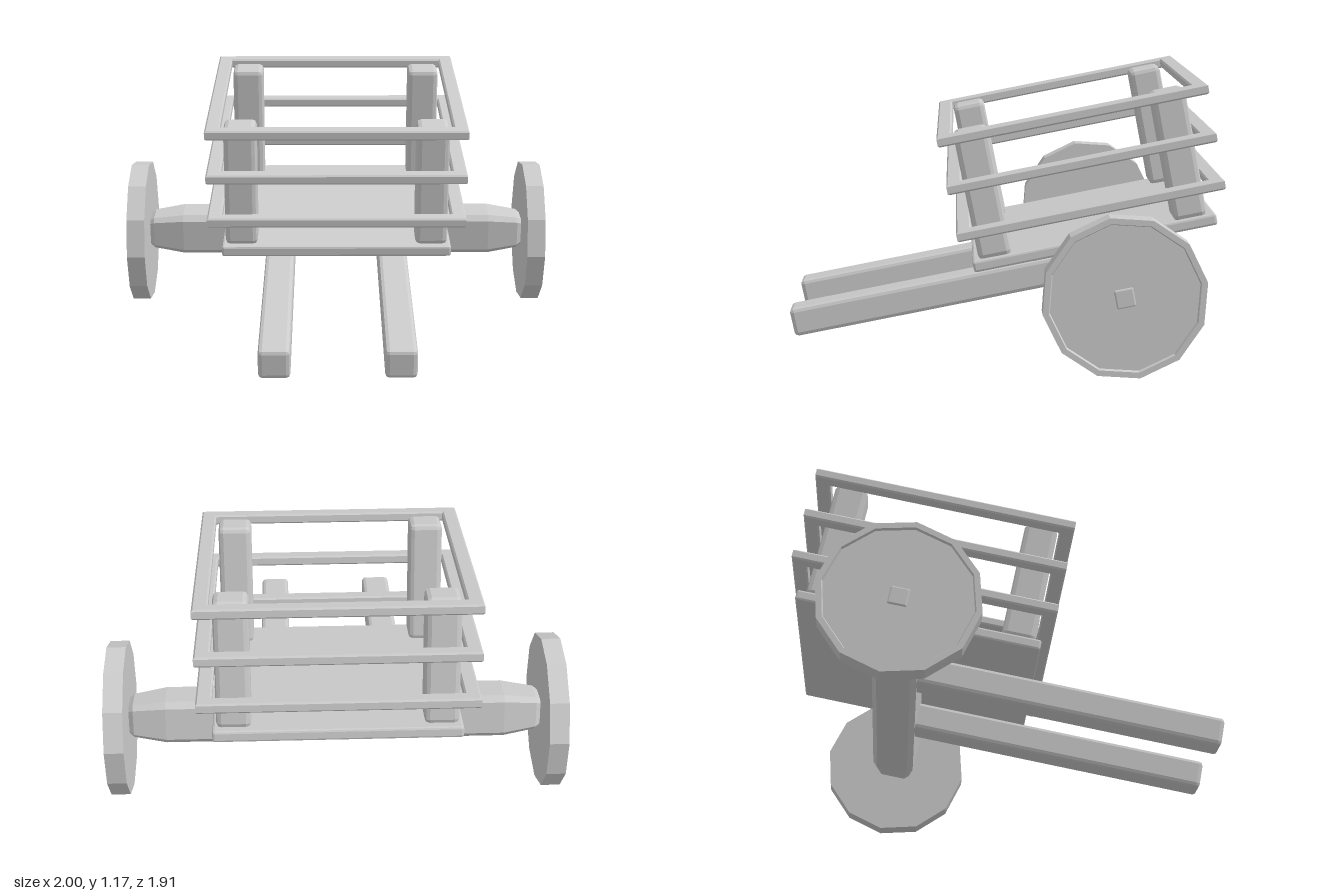
import * as THREE from 'three';
import { RoundedBoxGeometry } from 'three/addons/geometries/RoundedBoxGeometry.js';

const TILT = 0.195;
const mat = new THREE.MeshStandardMaterial({ color: 0xcccccc, flatShading: true });

function add(parent, name, geometry, x = 0, y = 0, z = 0) {
  const mesh = new THREE.Mesh(geometry, mat);
  mesh.name = name;
  mesh.position.set(x, y, z);
  parent.add(mesh);
  return mesh;
}

// Box with chamfered edges
const beam = (w, h, d, bevel) => new RoundedBoxGeometry(w, h, d, 1, bevel);

// Square axle with chamfered edges, narrowing towards both ends
function axleGeometry() {
  const h = 0.1, c = 0.075;
  const section = new THREE.Shape(
    [[h, -c], [h, c], [c, h], [-c, h], [-h, c], [-h, -c], [-c, -h], [c, -h]]
      .map(([x, y]) => new THREE.Vector2(x, y)));
  const geo = new THREE.ExtrudeGeometry(section, { depth: 5, steps: 5, bevelEnabled: false });
  const along = [-0.92, -0.895, -0.75, 0.75, 0.895, 0.92];
  const scale = [0.6, 0.78, 1, 1, 0.78, 0.6];
  const p = geo.attributes.position;
  for (let i = 0; i < p.count; i++) {
    const k = Math.round(p.getZ(i));
    p.setXYZ(i, p.getX(i) * scale[k], p.getY(i) * scale[k], along[k]);
  }
  geo.rotateY(Math.PI / 2);
  geo.computeVertexNormals();
  return geo;
}

// Rectangular rail frame lying flat, centred on its own origin
function railGeometry(w, d, thick, height) {
  const b = 0.007;
  const rect = (T, x, y) => new T(
    [[-x, -y], [x, -y], [x, y], [-x, y]].map(([u, v]) => new THREE.Vector2(u, v)));
  const shape = rect(THREE.Shape, w / 2 - b, d / 2 - b);
  shape.holes.push(rect(THREE.Path, w / 2 - thick + b, d / 2 - thick + b));
  const geo = new THREE.ExtrudeGeometry(shape, {
    depth: height - 2 * b, bevelSize: b, bevelThickness: b, bevelSegments: 1 });
  geo.translate(0, 0, b - height / 2);
  geo.rotateX(-Math.PI / 2);
  return geo;
}

// Twelve-sided wheel with a shallow recess on its outer face
function wheelGeometry() {
  const profile = [[0, 0], [0.343, 0], [0.343, 0.085], [0.318, 0.085], [0.313, 0.073], [0, 0.073]];
  return new THREE.LatheGeometry(profile.map(([r, y]) => new THREE.Vector2(r, y)), 12);
}

export function createModel() {
  const model = new THREE.Group();
  model.name = 'cart';

  // The whole cart tips forward about its axle
  const cart = new THREE.Group();
  cart.name = 'tiltedCart';
  cart.position.set(0, 0.343, -0.49);
  cart.rotation.x = TILT;
  model.add(cart);

  add(cart, 'axle', axleGeometry(), 0, 0.008, 0);
  add(cart, 'bed', beam(1.054, 0.05, 1.08, 0.01), 0, 0.14, 0.058);

  // Slatted sides
  const rail = railGeometry(1.18, 1.174, 0.066, 0.044);
  [0.298, 0.508, 0.718].forEach((y) => add(cart, 'rail', rail, 0, y, 0.053));

  const wheel = wheelGeometry();
  for (const side of [1, -1]) {
    // Wheels and axle pegs
    const w = add(cart, 'wheel', wheel, side * 0.915, 0, 0);
    w.rotation.z = -side * Math.PI / 2;
    add(cart, 'axlePeg', beam(0.1, 0.08, 0.08, 0.006), side * 0.945, 0, 0);

    // Pulling shafts
    add(cart, 'shaft', beam(0.135, 0.13, 1.47, 0.018), side * 0.264, 0.003, 0.72);

    // Corner posts
    for (const z of [0.495, -0.372]) {
      add(cart, 'post', beam(0.148, 0.57, 0.148, 0.022), side * 0.437, 0.445, z);
    }
  }
  return model;
}
